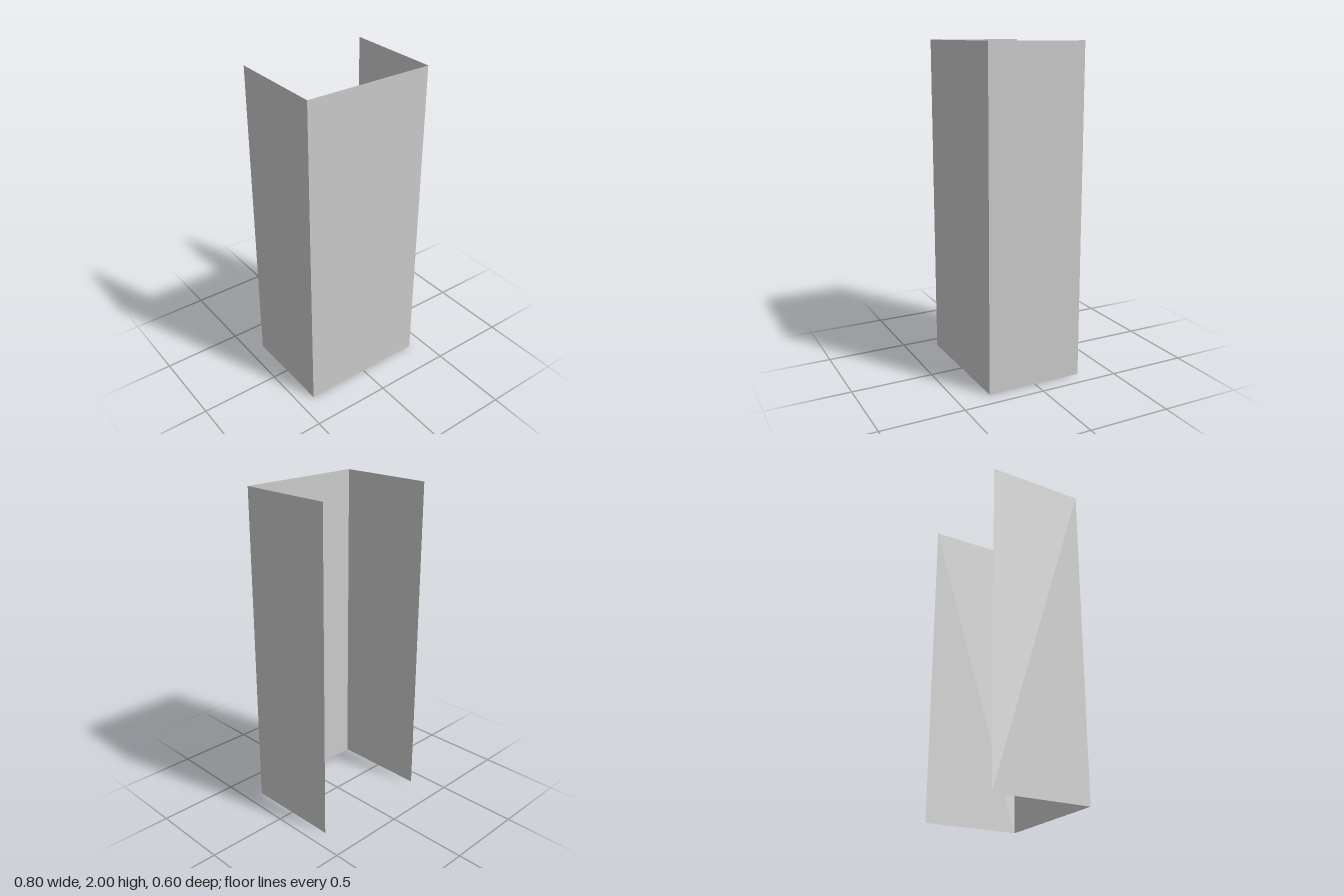
import * as THREE from 'three';

const WIDTH = 0.8, HEIGHT = 2, DEPTH = 0.6;

export function createModel() {
  const group = new THREE.Group();
  group.name = 'channelScreen';
  const material = new THREE.MeshStandardMaterial({
    color: 0xcccccc, flatShading: true, side: THREE.DoubleSide,
  });

  // A thin upright sheet, turned about y to face outward
  const addPanel = (name, width, x, z, turn) => {
    const panel = new THREE.Mesh(new THREE.PlaneGeometry(width, HEIGHT), material);
    panel.name = name;
    panel.position.set(x, HEIGHT / 2, z);
    panel.rotation.y = turn;
    group.add(panel);
  };

  // Front sheet with a wing folded back on each side; back, top and bottom stay open
  addPanel('frontPanel', WIDTH, 0, DEPTH / 2, 0);
  for (const [name, side] of [['leftPanel', 1], ['rightPanel', -1]]) {
    addPanel(name, DEPTH, side * WIDTH / 2, 0, side * Math.PI / 2);
  }
  return group;
}
